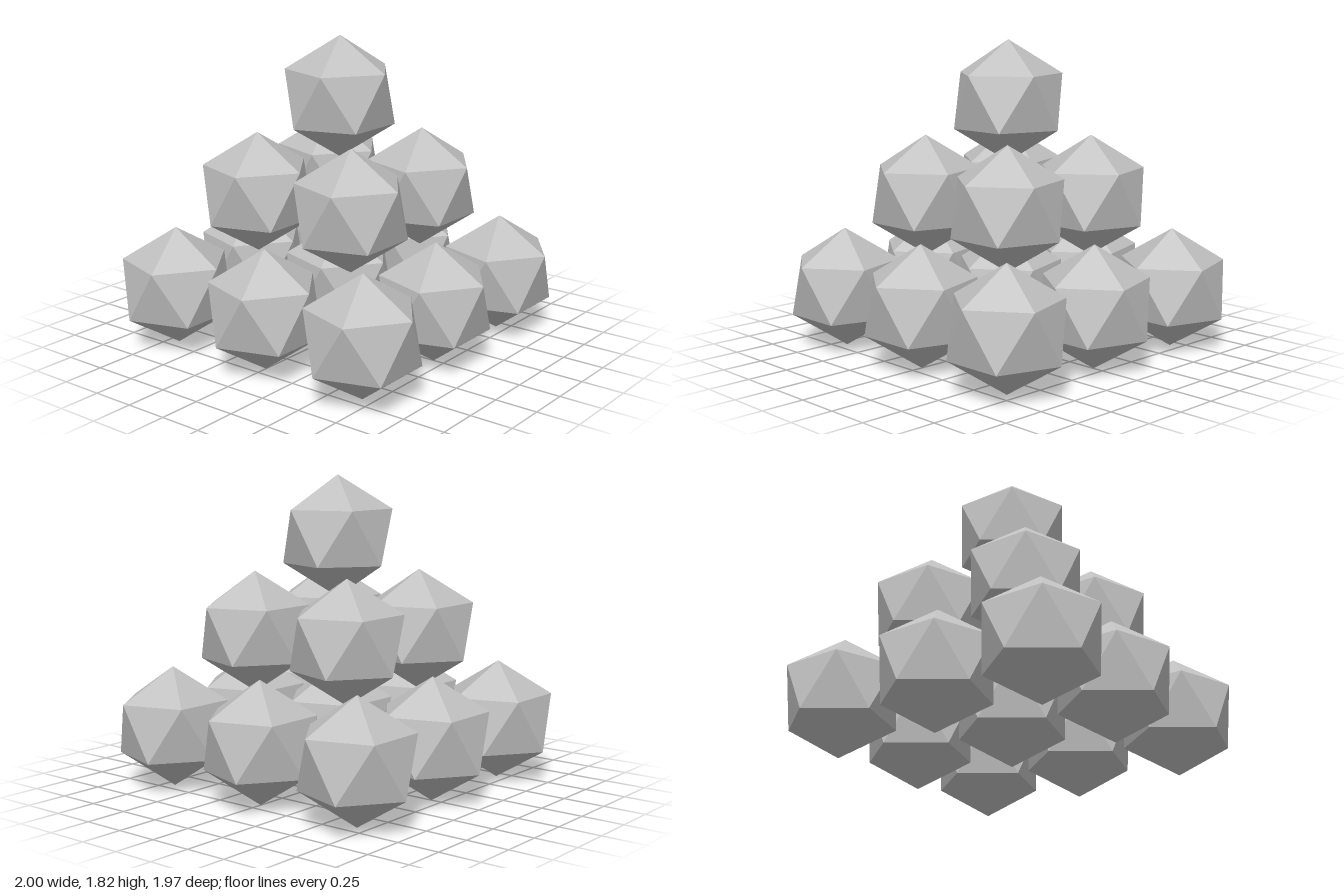
import * as THREE from 'three';

const RADIUS = 0.3555;   // centre to corner of one block
const SPACING = 0.682;   // between neighbours in a layer
const RISE = 0.5535;     // between layers

export function createModel() {
  const model = new THREE.Group();
  model.name = 'icosahedronPyramid';

  const grey = new THREE.MeshStandardMaterial({ color: 0xc0c0c0 });
  grey.name = 'light grey';

  // Icosahedron standing on a corner, with an upper-ring corner towards +x
  const golden = (1 + Math.sqrt(5)) / 2;
  const block = new THREE.IcosahedronGeometry(RADIUS, 0);
  block.rotateZ(-Math.atan2(1, golden));

  // Square layers of 3 x 3, 2 x 2 and 1 block
  ['bottomLayer', 'middleLayer', 'topLayer'].forEach((name, level) => {
    const layer = new THREE.Group();
    layer.name = name;
    layer.position.y = RADIUS + level * RISE;
    const count = 3 - level;
    const middle = (count - 1) / 2;
    for (let row = 0; row < count; row++) {
      for (let column = 0; column < count; column++) {
        const mesh = new THREE.Mesh(block, grey);
        mesh.name = `block row ${row + 1} column ${column + 1}`;
        mesh.position.set((column - middle) * SPACING, 0, (row - middle) * SPACING);
        layer.add(mesh);
      }
    }
    model.add(layer);
  });

  return model;
}
